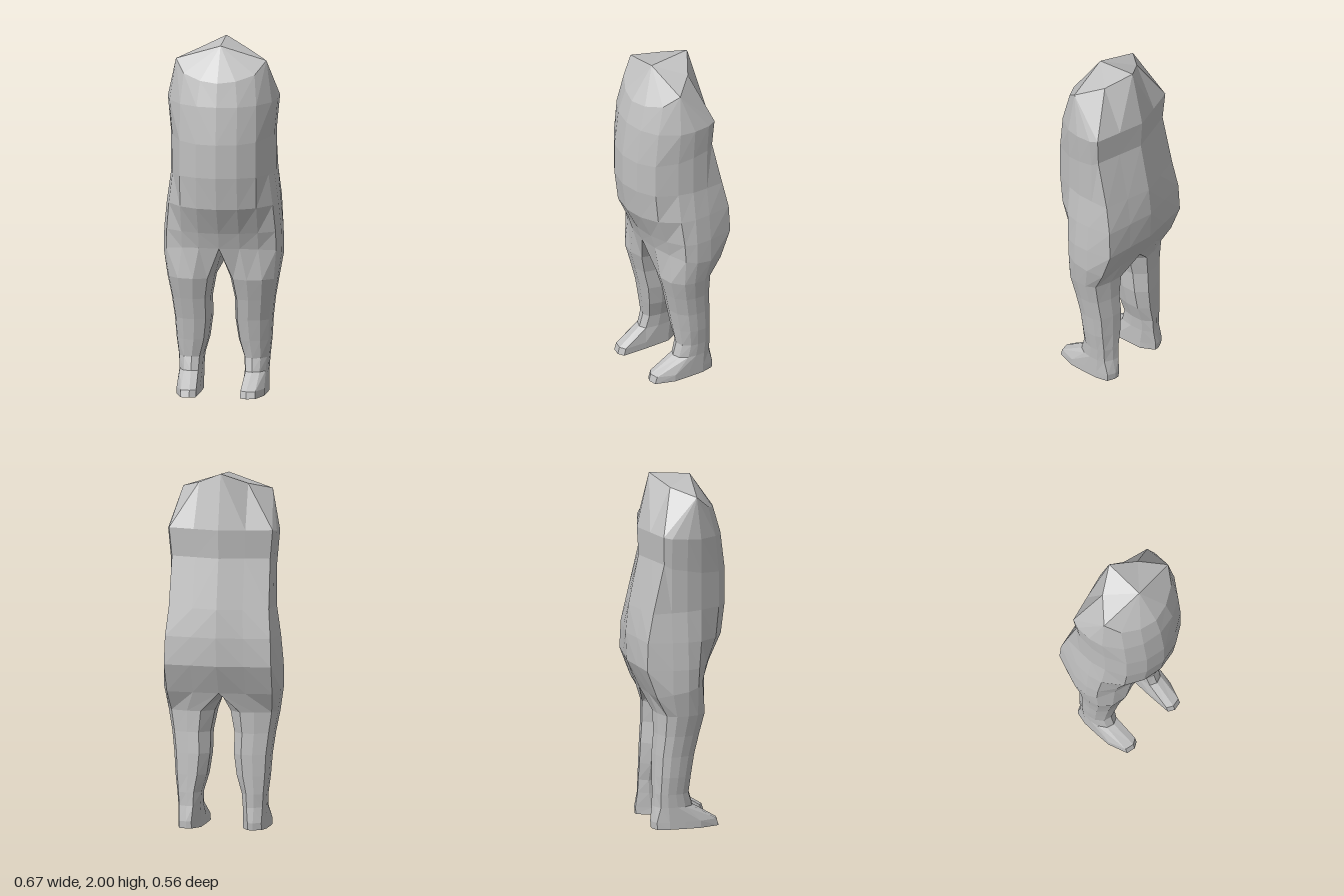
import * as THREE from 'three';
import { mergeGeometries } from 'three/addons/utils/BufferGeometryUtils.js';

// Flat-shaded triangles from a list of corner points
function facets(tris) {
  const g = new THREE.BufferGeometry();
  g.setAttribute('position', new THREE.Float32BufferAttribute(tris.flat(2), 3));
  g.computeVertexNormals();
  return g;
}
const mirror = (tris) => tris.map((t) => [t[0], t[2], t[1]].map(([x, y, z]) => [-x, y, z]));

// Skin between neighbouring cross-sections, listed from top to bottom
function loft(rings, closed) {
  const tris = [];
  for (let r = 0; r + 1 < rings.length; r++) {
    const up = rings[r], low = rings[r + 1], n = up.length;
    for (let i = 0; i < (closed ? n : n - 1); i++) {
      const j = (i + 1) % n;
      if (up[i] !== up[j]) tris.push([up[i], up[j], low[j]]);
      tris.push([up[i], low[j], low[i]]);
    }
  }
  return tris;
}
const fan = (centre, ring) => ring.slice(1).map((p, i) => [centre, ring[i], p]);

// Half a torso section, from the spine round the flank to the belly
function torsoRing([yf, yb, zb, xc, zc, xs, zf]) {
  const y = (t) => yb + (yf - yb) * t;
  return [
    [0, yb, zb], [xc / 2, yb, (zb + zc) / 2], [xc, yb, zc],
    [xs, y(0.3), -0.09], [xs, y(0.5), 0], [xs * 0.93, y(0.75), 0.03 + zf * 0.2],
    [0.215, y(0.9), zf * 0.71], [0.115, yf, zf * 0.92], [0, yf, zf],
  ];
}

// Closed leg section in the same order, then back along the inner side
function legRing([y, xi, xo, zb, zf]) {
  const w = xo - xi, d = zf - zb;
  return [
    [0.25, 0], [0.55, 0.03], [0.9, 0.14], [1, 0.32], [1, 0.55], [0.94, 0.75],
    [0.72, 0.94], [0.4, 1], [0.1, 0.92], [0, 0.6], [0, 0.25],
  ].map(([u, v]) => [xi + u * w, y, zb + v * d]);
}

export function createModel() {
  const group = new THREE.Group();
  const grey = new THREE.MeshStandardMaterial({ color: 0xc0c0c0 });
  grey.name = 'light grey';

  const add = (name, ...lists) => {
    const mesh = new THREE.Mesh(mergeGeometries(lists.map(facets)), grey);
    mesh.name = name;
    group.add(mesh);
  };

  // front y, back y, spine z, back corner x and z, flank x, belly z
  const rings = [
    [1.66, 1.69, -0.215, 0.295, -0.137, 0.31, 0.258],
    [1.45, 1.53, -0.205, 0.28, -0.13, 0.293, 0.285],
    [1.26, 1.25, -0.263, 0.285, -0.195, 0.291, 0.285],
    [1.08, 1.09, -0.28, 0.3, -0.228, 0.315, 0.26],
    [0.93, 0.93, -0.273, 0.305, -0.235, 0.33, 0.185],
    [0.84, 0.77, -0.2, 0.3, -0.175, 0.333, 0.155],
  ].map(torsoRing);

  // Shoulder line and faceted neck cap
  const shoulder = [0.255, 1.9, 0.065];
  const collar = [
    [0, 2, -0.145], [0.14, 1.94, -0.06], shoulder, shoulder, shoulder, shoulder,
    [0.2, 1.83, 0.145], [0.1, 1.8, 0.2], [0, 1.79, 0.222],
  ];
  // Shift the collar so the shoulder blade meets its own corner
  collar[2] = shoulder;
  const rim = collar.filter((p, i) => p !== collar[i - 1]);
  const half = [
    ...loft([collar, ...rings], false),
    ...fan([0, 1.98, 0.09], rim).map(([c, a, b]) => [c, b, a]),
  ];
  add('torso', half, mirror(half));

  // Legs start at the hip section and end in the foot
  const hip = [...rings[5], [0, 0.8, 0.04], [0, 0.74, -0.09]];
  // y, inner x, outer x, back z, front z
  const legRings = [
    [0.66, 0.045, 0.312, -0.155, 0.132],
    [0.54, 0.068, 0.29, -0.153, 0.1],
    [0.42, 0.068, 0.275, -0.162, 0.073],
    [0.3, 0.085, 0.267, -0.165, 0.053],
    [0.2, 0.115, 0.255, -0.167, 0.038],
    [0.125, 0.12, 0.25, -0.17, 0.06],
  ].map(legRing);
  // Foot: height, heel z, toe z
  const footRings = [[0.04, -0.18, 0.2], [0, -0.177, 0.212]].map(([y, zb, zf]) =>
    [[0.16, zb], [0.19, zb], [0.235, zb + 0.02], [0.25, -0.09], [0.25, 0], [0.247, 0.09],
      [0.21, zf - 0.01], [0.16, zf], [0.125, zf - 0.02], [0.12, 0.05], [0.12, -0.1]]
      .map(([x, z]) => [x, y, z]));
  const leg = loft([hip, ...legRings], true);
  const sole = footRings[1];
  const foot = [
    ...loft([legRings[5], ...footRings], true),
    ...fan([0.185, 0, 0], [...sole, sole[0]]),
  ];
  add('leftLeg', leg);
  add('rightLeg', mirror(leg));
  add('leftFoot', foot);
  add('rightFoot', mirror(foot));

  return group;
}
